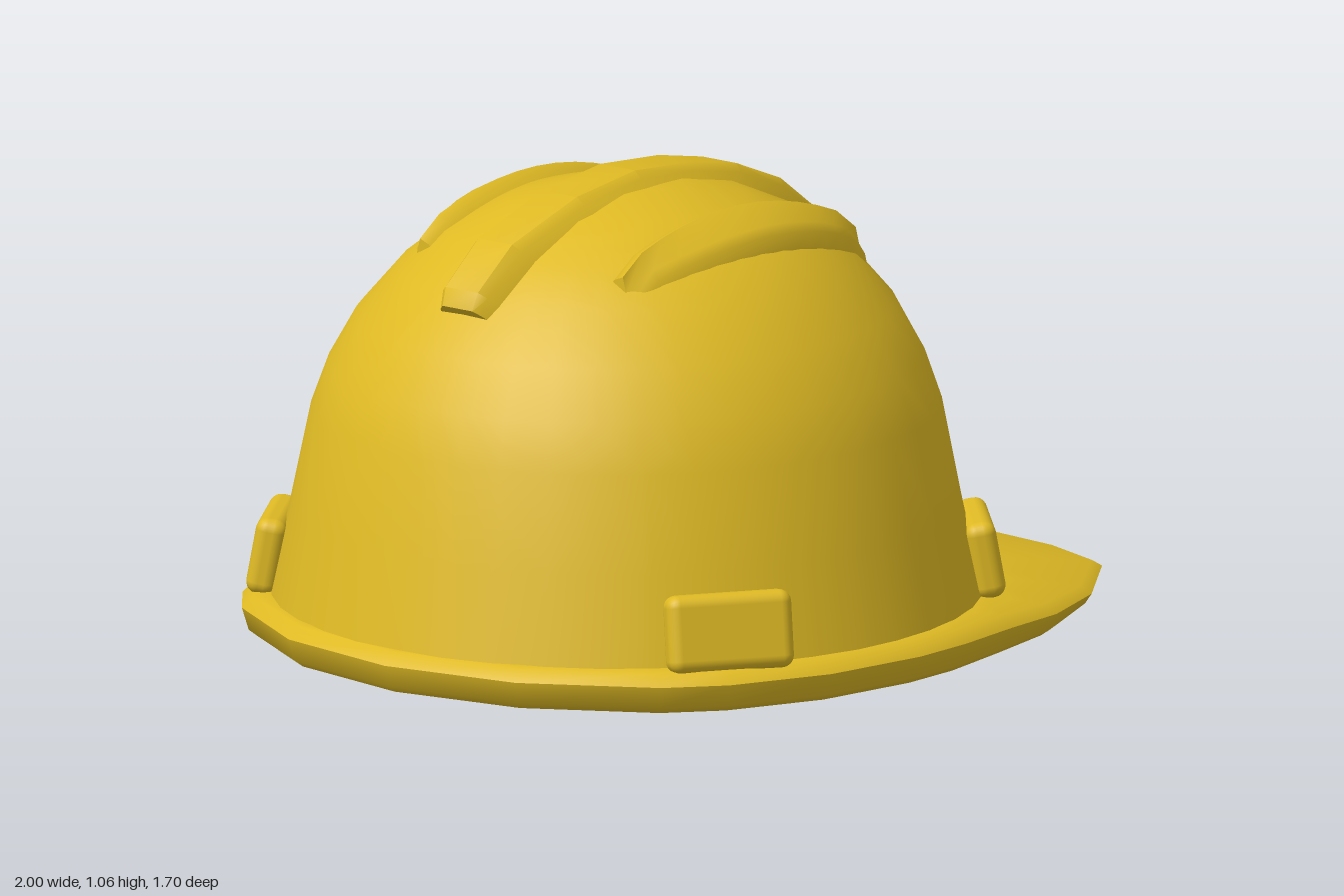
import * as THREE from 'three';
import { toCreasedNormals } from 'three/addons/utils/BufferGeometryUtils.js';
import { RoundedBoxGeometry } from 'three/addons/geometries/RoundedBoxGeometry.js';

const V = (x, y, z) => new THREE.Vector3(x, y, z);
const CX = -0.17; // dome axis

// Skin a row of closed cross-sections; either joined end to end or capped.
function loft(rings, joined = false, crease = 0.75) {
  const n = rings[0].length, m = rings.length, pts = rings.flat(), idx = [];
  for (let i = 0; i < (joined ? m : m - 1); i++) {
    for (let j = 0; j < n; j++) {
      const a = i * n + j, b = i * n + (j + 1) % n;
      const c = ((i + 1) % m) * n + j, d = ((i + 1) % m) * n + (j + 1) % n;
      idx.push(a, b, c, b, d, c);
    }
  }
  if (!joined) {
    for (const [r, flip] of [[0, true], [m - 1, false]]) {
      const mid = V(0, 0, 0);
      rings[r].forEach((p) => mid.addScaledVector(p, 1 / n));
      const k = pts.push(mid) - 1;
      for (let j = 0; j < n; j++) {
        const a = r * n + j, b = r * n + (j + 1) % n;
        idx.push(...(flip ? [k, b, a] : [k, a, b]));
      }
    }
  }
  // turn the faces outward if the enclosed volume is negative
  let vol = 0;
  for (let i = 0; i < idx.length; i += 3) {
    vol += pts[idx[i]].dot(V(0, 0, 0).crossVectors(pts[idx[i + 1]], pts[idx[i + 2]]));
  }
  if (vol < 0) idx.reverse();
  const g = new THREE.BufferGeometry().setFromPoints(pts);
  g.setIndex(idx);
  return toCreasedNormals(g, crease);
}

// Lathed shell that grows longer in x toward the crown
function shell(profile) {
  const g = new THREE.LatheGeometry(profile.map(([r, y]) => new THREE.Vector2(r, y)), 40);
  const p = g.attributes.position;
  for (let i = 0; i < p.count; i++) {
    p.setX(i, CX + p.getX(i) * (1 + 0.12 * THREE.MathUtils.smoothstep(p.getY(i), 0.2, 1)));
  }
  return g;
}

export function createModel() {
  const group = new THREE.Group();
  const yellow = new THREE.MeshStandardMaterial({ color: 0xdfba24, side: THREE.DoubleSide });
  yellow.name = 'safety yellow';
  const add = (name, geometry) => {
    const mesh = new THREE.Mesh(geometry, yellow);
    mesh.name = name;
    group.add(mesh);
    return mesh;
  };

  // Dome, outside and inside
  const profile = [[0.8, 0.06], [0.79, 0.1], [0.745, 0.3], [0.69, 0.52], [0.645, 0.63], [0.58, 0.74],
    [0.485, 0.85], [0.385, 0.93], [0.25, 0.995], [0.12, 1.028], [0, 1.035]];
  add('dome', shell(profile));
  const inner = profile.slice(1).map(([r, y]) => [Math.max(r - 0.025, 0), y - 0.025]);
  add('domeLining', shell([[0.775, 0.012], ...inner].reverse()));

  // Brim with the long peak toward +x
  const half = [[1, 0], [0.97, 0.3], [0.91, 0.47], [0.65, 0.66], [0.4, 0.77], [0.2, 0.81], [0, 0.845],
    [-0.16, 0.85], [-0.42, 0.81], [-0.65, 0.71], [-0.77, 0.61], [-0.94, 0.33], [-1, 0]];
  const outline = [...half, ...half.slice(1, -1).reverse().map(([x, z]) => [x, -z])];
  add('brim', loft(outline.map(([x, z]) => {
    const a = Math.atan2(z, x - CX), R = Math.hypot(x - CX, z);
    const t = THREE.MathUtils.smoothstep(x, 0, 1);
    const at = (r, y) => V(CX + r * Math.cos(a), y, r * Math.sin(a));
    return [at(0.775, 0.012), at(R - 0.035, 0.005 * t + 0.005), at(R - 0.015, 0.02),
      at(R, 0.07 - 0.04 * t), at(R - 0.025, 0.098 - 0.053 * t), at(0.787, 0.1 - 0.01 * t)];
  }), true, 0.9));

  // Central ridge: x, y, depth, half width
  const spine = [[-0.75, 0.84, 0.06, 0.06], [-0.735, 0.88, 0.06, 0.065], [-0.62, 0.97, 0.06, 0.068],
    [-0.4, 1.04, 0.045, 0.07], [-0.2, 1.065, 0.045, 0.07], [0, 1.05, 0.045, 0.07],
    [0.15, 1.02, 0.055, 0.07], [0.3, 0.96, 0.07, 0.07], [0.43, 0.865, 0.085, 0.07],
    [0.52, 0.75, 0.085, 0.072], [0.6, 0.6, 0.088, 0.078], [0.65, 0.46, 0.105, 0.09], [0.66, 0.4, 0.1, 0.09]];
  add('centreRidge', loft(spine.map(([x, y, d, w]) => {
    const n = V(x + 0.19, y - 0.35, 0).normalize();
    const at = (depth, z) => V(x - n.x * depth, y - n.y * depth, z);
    const side = [at(d, w + 0.025), at(0.018, w), at(0, w * 0.72)];
    return [...side, ...side.map((p) => V(p.x, p.y, -p.z)).reverse()];
  })));

  // Wide badge panel below the ridge: y, front x, half width, back x
  const rows = [[0.06, 0.692, 0.275, 0.575], [0.25, 0.677, 0.262, 0.54],
    [0.43, 0.66, 0.245, 0.495], [0.46, 0.645, 0.235, 0.488], [0.49, 0.575, 0.2, 0.485]];
  add('frontPanel', loft(rows.map(([y, f, w, b]) => {
    const side = [V(b + 0.037, y, 0.01), V(b, y, w), V(f - 0.07, y, w * 0.98),
      V(f - 0.03, y, w * 0.85), V(f - 0.008, y, w * 0.45)];
    return [...side, V(f, y, 0), ...side.map((p) => V(p.x, p.y, -p.z)).reverse()];
  })));

  // Curved side ridges on the crown
  for (const s of [1, -1]) {
    const rings = [];
    for (let i = 0; i <= 12; i++) {
      const u = i / 6 - 1, x = -0.13 + 0.4 * u;
      const drop = 0.55 * (x + 0.16) ** 2, z = 0.07 * u * u;
      const e = Math.abs(u) === 1 ? 0.02 : 0; // softened ends
      rings.push([[0.235 + z * 0.3, 0.965], [0.27, 1.002 - e], [0.295, 1.012 - e], [0.375 - z, 0.975 - e],
        [0.392 - z, 0.955 - e], [0.4 - z, 0.905]].map(([pz, py]) => V(x, py - drop, s * pz)));
    }
    add(s > 0 ? 'sideRidgeLeft' : 'sideRidgeRight', loft(rings));
  }

  // Four accessory mounts around the base
  for (const s of [1, -1]) {
    for (const [name, deg] of [['peakMount', 45], ['rearMount', 123]]) {
      const a = THREE.MathUtils.degToRad(deg) * s;
      const mount = add(name, new RoundedBoxGeometry(0.29, 0.175, 0.07, 3, 0.028));
      mount.position.set(CX + 0.79 * Math.cos(a), 0.177, 0.79 * Math.sin(a));
      mount.rotation.set(-0.18, Math.atan2(Math.cos(a), Math.sin(a)), 0, 'YXZ');
    }
  }
  return group;
}
